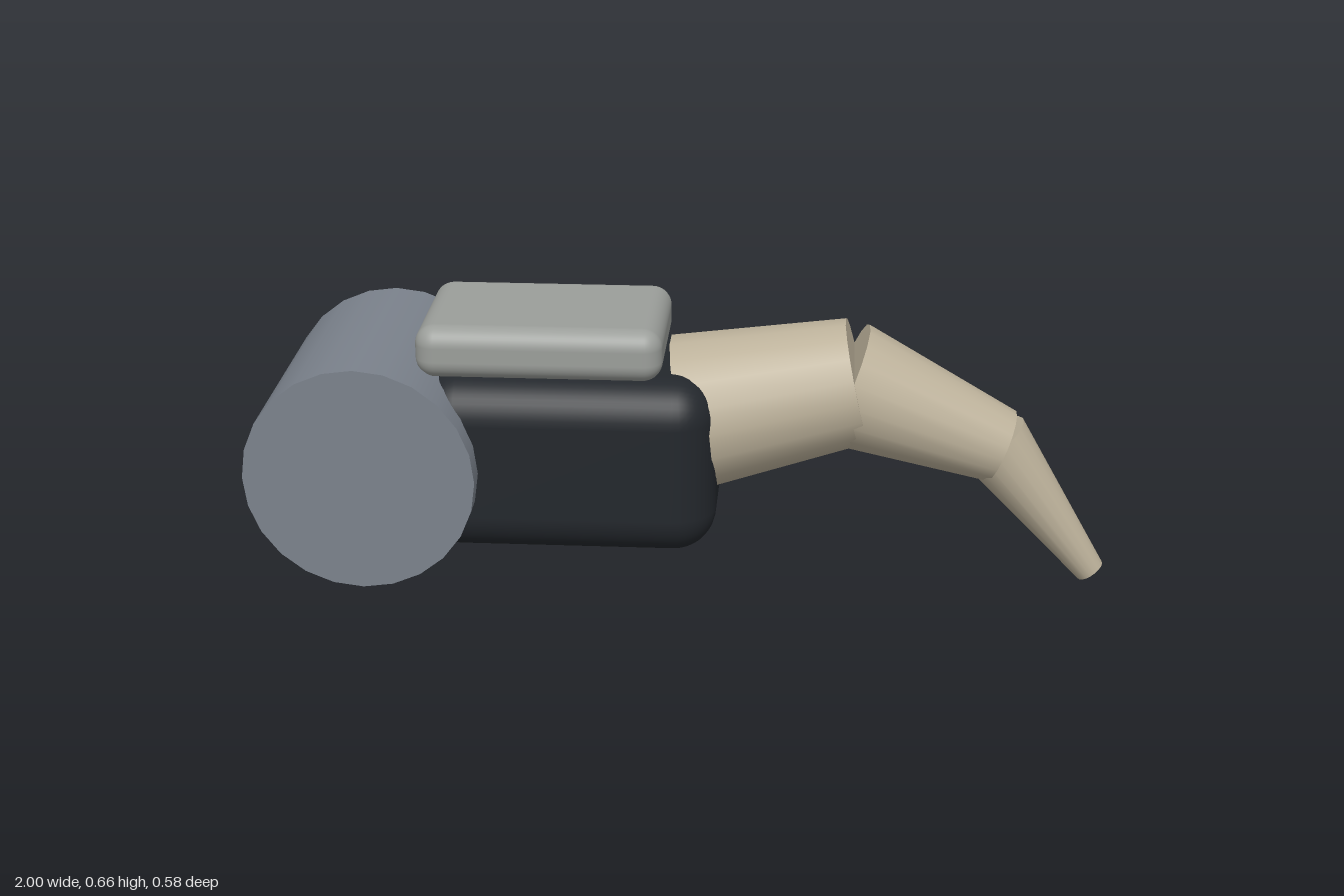
import * as THREE from 'three';
import { RoundedBoxGeometry } from 'three/addons/geometries/RoundedBoxGeometry.js';

const paint = (color) => new THREE.MeshStandardMaterial({ color });

export function createModel() {
  const model = new THREE.Group();
  const add = (name, geometry, material, x, y) => {
    const mesh = new THREE.Mesh(geometry, material);
    mesh.name = name;
    mesh.position.set(x, y, 0);
    model.add(mesh);
    return mesh;
  };

  // Drum lying across the rear end
  const drum = new THREE.CylinderGeometry(0.268, 0.268, 0.577, 24).rotateX(Math.PI / 2);
  add('drum', drum, paint(0x7b828c), -0.732, 0.332);

  // Dark housing and the pale pad on top of it
  add('housing', new RoundedBoxGeometry(0.7, 0.425, 0.461, 5, 0.1), paint(0x23272c), -0.27, 0.3325);
  add('topPad', new RoundedBoxGeometry(0.568, 0.125, 0.384, 5, 0.046), paint(0x9b9e9a), -0.327, 0.603);

  // Three tapering finger segments: start, start radius, end, end radius
  const skin = paint(0xbdb29b);
  const segments = [
    ['baseSegment', 0.005, 0.406, 0.188, 0.404, 0.495, 0.15],
    ['middleSegment', 0.374, 0.487, 0.15, 0.744, 0.339, 0.09],
    ['tipSegment', 0.724, 0.352, 0.088, 0.972, 0.022, 0.035],
  ];
  for (const [name, x0, y0, r0, x1, y1, r1] of segments) {
    const length = Math.hypot(x1 - x0, y1 - y0);
    const cone = new THREE.CylinderGeometry(r1, r0, length, 18);
    const mesh = add(name, cone, skin, (x0 + x1) / 2, (y0 + y1) / 2);
    mesh.rotation.z = Math.atan2(y1 - y0, x1 - x0) - Math.PI / 2;
  }
  return model;
}
